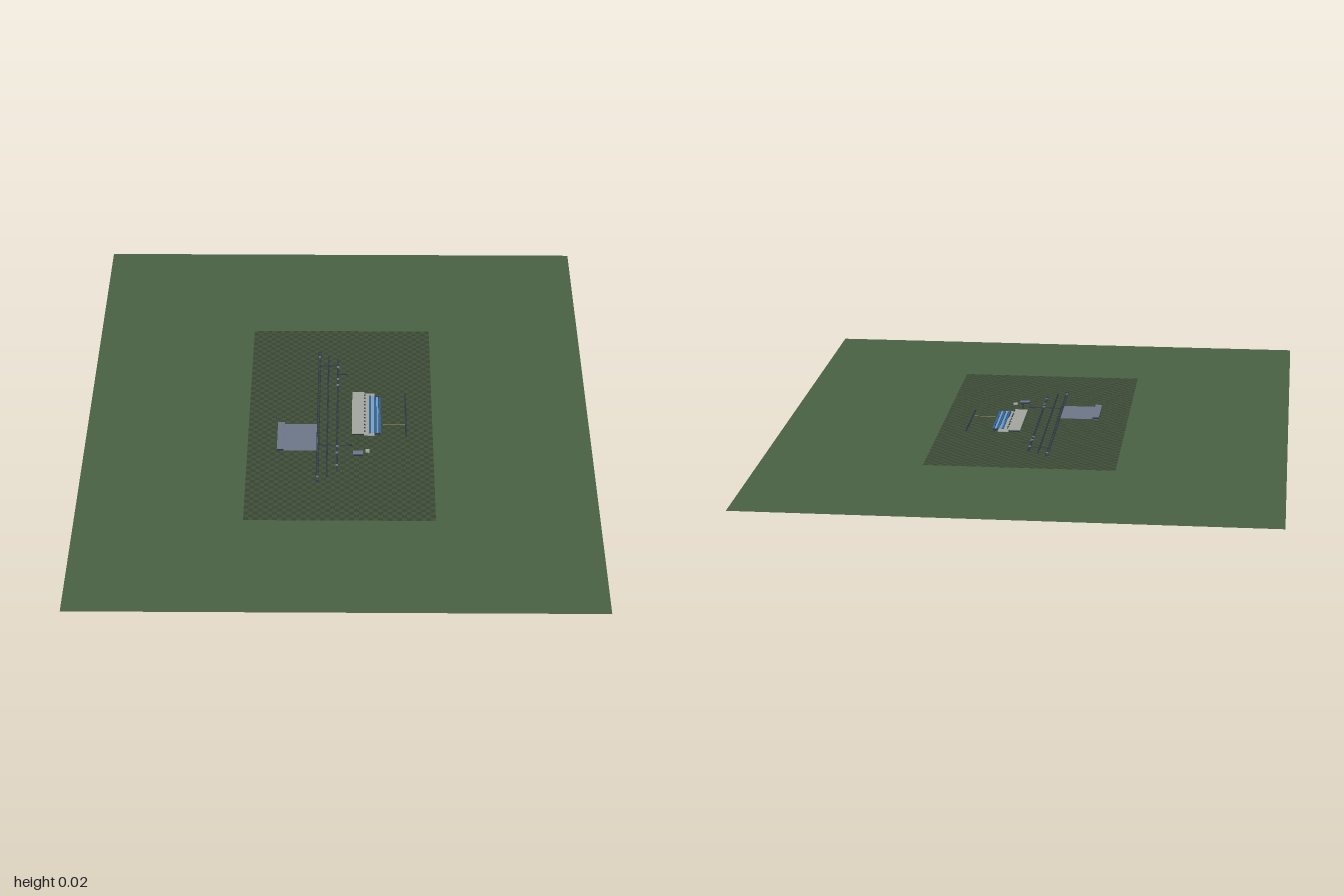
import * as THREE from 'three';
import { mergeGeometries } from 'three/addons/utils/BufferGeometryUtils.js';

const mat = (color, side = THREE.FrontSide) => new THREE.MeshStandardMaterial({ color, side });
const navy = mat(0x2a3348), steel = mat(0x6c7789), pale = mat(0xa2a69f);
const blue = mat(0x2f6299), sky = mat(0x6f9dc4), gold = mat(0x9a8c50);

// Box given by its x, y and z ranges
function block(x0, x1, y0, y1, z0, z1) {
  return new THREE.BoxGeometry(x1 - x0, y1 - y0, z1 - z0)
    .translate((x0 + x1) / 2, (y0 + y1) / 2, (z0 + z1) / 2);
}

function sheet(x0, x1, z0, z1, y) {
  return new THREE.PlaneGeometry(x1 - x0, z1 - z0).rotateX(-Math.PI / 2)
    .translate((x0 + x1) / 2, y, (z0 + z1) / 2);
}

export function createModel() {
  const model = new THREE.Group();
  model.name = 'stationSite';
  const add = (name, geometries, material, parent = model) => {
    const mesh = new THREE.Mesh(Array.isArray(geometries) ? mergeGeometries(geometries) : geometries, material);
    mesh.name = name;
    parent.add(mesh);
    return mesh;
  };
  const group = (name) => {
    const g = new THREE.Group();
    g.name = name;
    model.add(g);
    return g;
  };

  // Wide ground sheet
  add('ground', sheet(-0.815, 0.815, -1, 1, 0), mat(0x4a6144, THREE.DoubleSide));

  // Finely checkered field
  const tiles = [[], []], nx = 40, nz = 72;
  const dx = 0.597 / nx, dz = 1.06 / nz;
  for (let i = 0; i < nx; i++) for (let j = 0; j < nz; j++) {
    const x = -0.291 + i * dx, z = -0.502 + j * dz;
    tiles[(i + j) % 2].push(sheet(x, x + dx, z, z + dz, 0.0008));
  }
  add('lightFieldTiles', tiles[0], mat(0x404f3b));
  add('darkFieldTiles', tiles[1], mat(0x35442f));

  // Railway lines: x, start z, end z, width
  const tracks = group('tracks');
  for (const [x, z0, z1, w] of [
    [-0.065, -0.37, 0.365, 0.007], [-0.035, -0.34, 0.335, 0.003],
    [-0.003, -0.33, 0.30, 0.004], [0.22, -0.13, 0.12, 0.003],
  ]) {
    const rails = [-1, 1].map(s => block(x + s * w / 2 - 0.001, x + s * w / 2 + 0.001, 0.0008, 0.0022, z0, z1));
    const sleepers = [];
    for (let z = z0; z < z1; z += 0.015) sleepers.push(block(x - w / 2 - 0.001, x + w / 2 + 0.001, 0.0008, 0.0013, z, z + 0.004));
    add('rails', rails, navy, tracks);
    add('sleepers', sleepers, navy, tracks);
  }

  // Cross links between the lines
  add('crossLinks', [
    block(-0.065, 0.0, 0.0008, 0.002, -0.29, -0.287),
    block(-0.003, 0.03, 0.0008, 0.002, -0.24, -0.237),
    block(-0.065, 0.04, 0.0008, 0.002, 0.162, 0.165),
  ], navy, tracks);

  // Trackside markers
  const markers = [];
  for (const z of [-0.342, 0.334]) markers.push(block(-0.069, -0.061, 0.0008, 0.004, z - 0.004, z + 0.004));
  for (const z of [-0.28, -0.21, -0.175, 0.17, 0.205, 0.272])
    markers.push(block(-0.007, 0.001, 0.0008, 0.004, z - 0.004, z + 0.004));
  add('tracksideMarkers', markers, steel);

  // Paved yard with a long low building along its outer edge
  const yard = group('yard');
  add('yardPaving', block(-0.195, -0.067, 0.0004, 0.0014, 0.048, 0.193), steel, yard);
  add('yardBuilding', block(-0.195, -0.175, 0.0014, 0.007, 0.048, 0.193), navy, yard);
  add('yardRoof', block(-0.196, -0.174, 0.007, 0.0085, 0.047, 0.194), steel, yard);

  // Main hall: pale roof, dark walls, regular windows
  const hall = group('hall');
  add('hallWalls', block(0.048, 0.083, 0.0008, 0.007, -0.12, 0.107), navy, hall);
  add('hallRoof', block(0.045, 0.086, 0.007, 0.0095, -0.125, 0.11), pale, hall);
  add('forecourt', block(0.083, 0.118, 0.0008, 0.003, -0.125, 0.11), pale, hall);
  const windows = [], vents = [];
  for (let i = 0; i < 12; i++) {
    const z = -0.112 + i * 0.0185;
    windows.push(block(0.0475, 0.0835, 0.003, 0.0055, z, z + 0.01));
    vents.push(block(0.084, 0.089, 0.0075, 0.0102, z + 0.002, z + 0.007));
  }
  add('hallWindows', windows, sky, hall);
  add('roofVents', vents, navy, hall);

  // Stepped blue canopy with stripes and columns
  const canopy = group('canopy');
  for (let i = 0; i < 5; i++) {
    const x = 0.1 + i * 0.008, y = 0.0055 - i * 0.0004;
    add('canopyStrip', block(x, x + 0.0065, y, y + 0.001, -0.108 + i * 0.002, 0.1), i % 2 ? sky : blue, canopy);
  }
  add('canopyBase', block(0.098, 0.137, 0.0008, 0.003, -0.11, 0.102), navy, canopy);
  const columns = [];
  for (let i = 0; i < 10; i++)
    for (const x of [0.103, 0.133])
      columns.push(new THREE.CylinderGeometry(0.001, 0.001, 0.0035, 6).translate(x, 0.0035, -0.098 + i * 0.0215));
  add('canopyColumns', columns, navy, canopy);

  // Small outbuildings and a mast
  const huts = group('outbuildings');
  add('hut', block(0.05, 0.08, 0.0008, 0.007, 0.203, 0.22), navy, huts);
  add('hutRoof', block(0.049, 0.081, 0.007, 0.008, 0.202, 0.221), steel, huts);
  add('kiosk', block(0.088, 0.102, 0.0008, 0.005, 0.188, 0.203), pale, huts);
  add('lowShed', block(0.035, 0.045, 0.0008, 0.003, 0.158, 0.168), navy, huts);
  add('mast', new THREE.CylinderGeometry(0.0012, 0.0016, 0.017, 6).translate(0.065, 0.0093, 0.148), navy, huts);

  // Footpath and short fence beside the canopy
  add('footpath', block(0.145, 0.215, 0.0008, 0.0014, 0.045, 0.048), gold);
  const posts = [];
  for (let i = 0; i < 8; i++) posts.push(block(0.218, 0.22, 0.0008, 0.0035, -0.11 + i * 0.03, -0.108 + i * 0.03));
  add('fencePosts', posts, navy);

  return model;
}
